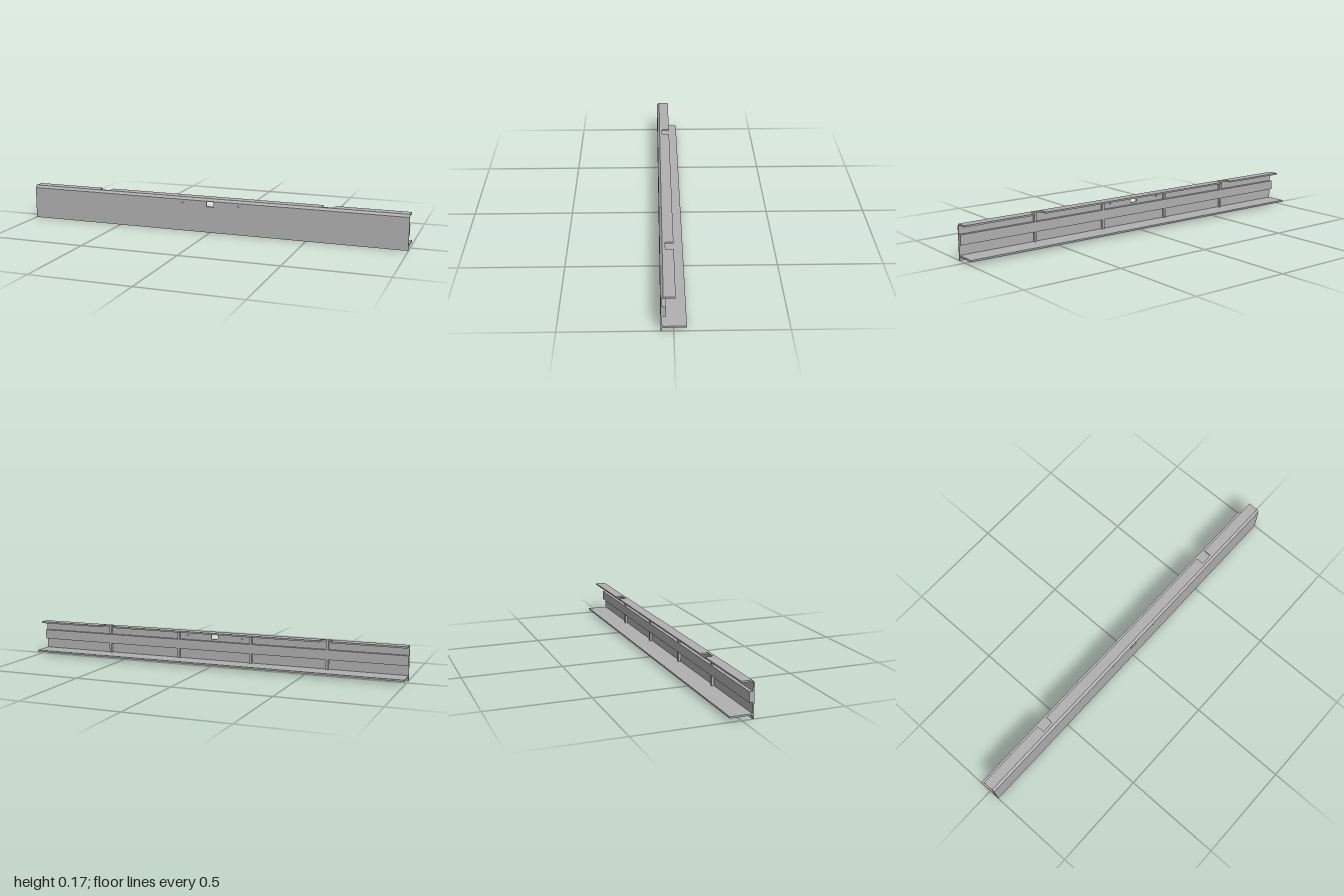
import * as THREE from 'three';

const steel = new THREE.MeshStandardMaterial({ color: 0xb0b0b0 });
steel.name = 'grey steel';

const BACK = 0.049, FRONT = 0.056; // faces of the front panel

export function createModel() {
  const group = new THREE.Group();
  group.name = 'channelBeam';

  const add = (name, geometry) => {
    const mesh = new THREE.Mesh(geometry, steel);
    mesh.name = name;
    group.add(mesh);
    return mesh;
  };
  // Box given by its limits on each axis
  const box = (name, x0, x1, y0, y1, z0, z1) => {
    add(name, new THREE.BoxGeometry(x1 - x0, y1 - y0, z1 - z0))
      .position.set((x0 + x1) / 2, (y0 + y1) / 2, (z0 + z1) / 2);
  };
  const rect = (Type, x0, x1, y0, y1) => new Type([
    [x0, y0], [x1, y0], [x1, y1], [x0, y1]].map(p => new THREE.Vector2(...p)));

  // Front panel in three lengths; the middle one has a window and two pinholes
  for (const [x0, x1] of [[-1, -0.6], [-0.6, 0.6], [0.6, 1]]) {
    const shape = rect(THREE.Shape, x0, x1, 0, 0.163);
    if (x0 < 0 && x1 > 0) {
      shape.holes.push(rect(THREE.Path, -0.019, 0.019, 0.134, 0.16));
      for (const x of [-0.15, 0.15]) {
        shape.holes.push(new THREE.Path().absarc(x, 0.147, 0.004, 0, Math.PI * 2, true));
      }
    }
    const panel = new THREE.ExtrudeGeometry(shape,
      { depth: FRONT - BACK, bevelEnabled: false, curveSegments: 6 });
    add('frontPanel', panel.translate(0, 0, BACK));
  }

  // Chamfered upper corner, a (z, y) profile swept along x
  const corner = new THREE.Shape([
    [FRONT, 0.163], [0.044, 0.175], [0.03, 0.175],
    [0.03, 0.167], [BACK, 0.167], [BACK, 0.163],
  ].map(p => new THREE.Vector2(...p)));
  const cornerGeometry = new THREE.ExtrudeGeometry(corner, { depth: 2, bevelEnabled: false });
  add('chamferedCorner', cornerGeometry.translate(0, 0, -1).rotateY(-Math.PI / 2));

  // Top flange, interrupted by a notch at each outer joint
  for (const [x0, x1] of [[-1, -0.63], [-0.57, -0.2], [-0.2, 0.2], [0.2, 0.57], [0.63, 1]]) {
    box('topFlange', x0, x1, 0.167, 0.175, -0.008, 0.03);
  }

  // Bottom shelf in five lengths
  const joints = [-0.6, -0.2, 0.2, 0.6];
  const ends = [-1, ...joints, 1];
  for (let i = 0; i < 5; i++) {
    box('bottomShelf', ends[i], ends[i + 1], 0.017, 0.025, -0.056, BACK);
  }

  // Stiffening rail along the back of the panel
  box('backRail', -1, 1, 0.075, 0.124, 0.033, BACK);

  // Upright ribs at the joints
  for (const x of joints) {
    box('rib', x - 0.006, x + 0.006, 0.025, 0.167, 0.036, BACK);
  }

  return group;
}
